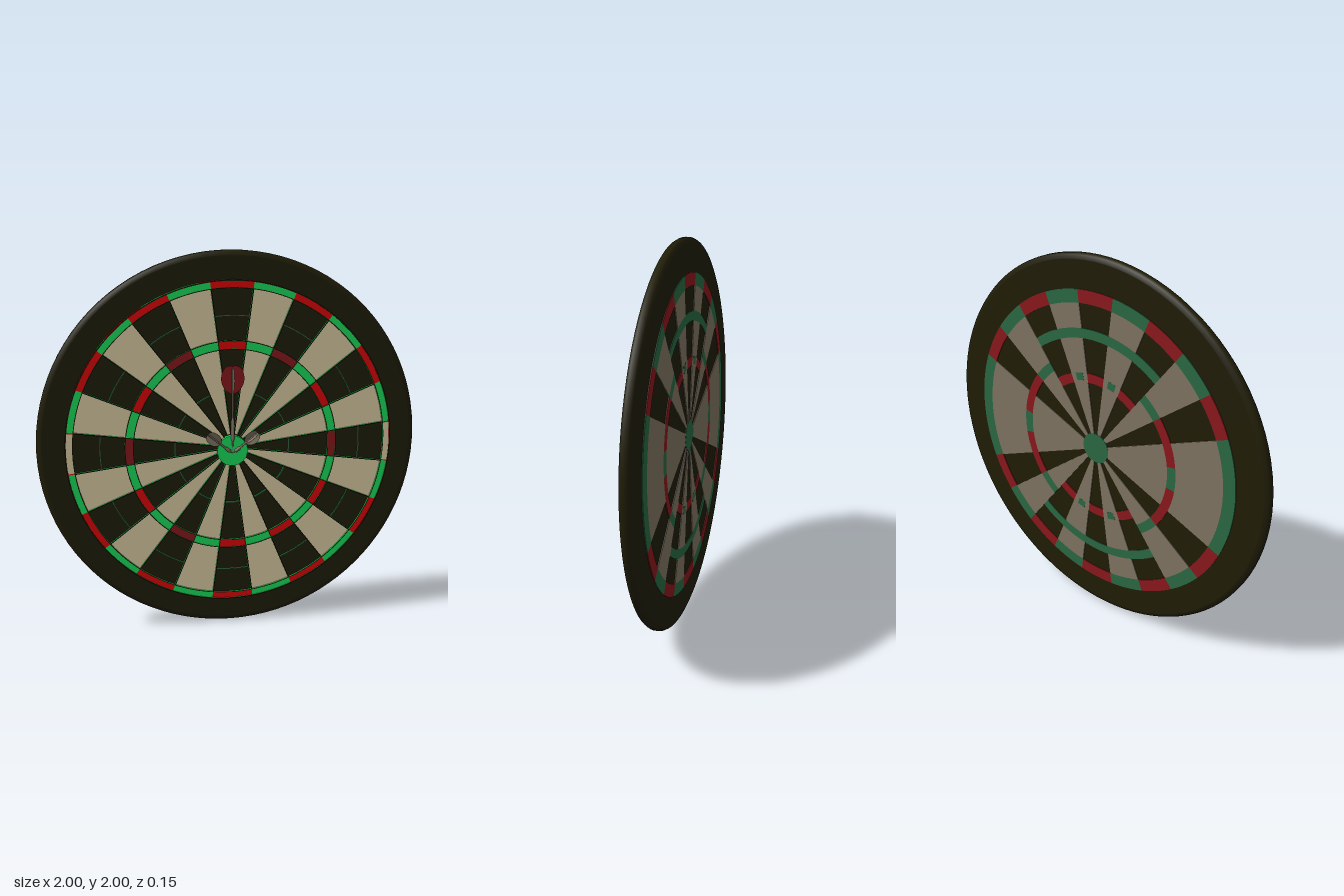
import * as THREE from 'three';

const mat = (name, color, side = THREE.FrontSide) => {
  const m = new THREE.MeshStandardMaterial({ color, side });
  m.name = name;
  return m;
};

export function createModel() {
  const black = mat('black', 0x201d06);
  const cream = mat('cream', 0xe1d1a6);
  const red = mat('red', 0xe50306);
  const green = mat('green', 0x1ce35e);
  const darkRed = mat('dark red', 0x8c191d, THREE.DoubleSide);
  const darkGreen = mat('dark green', 0x2a6a44);
  const taupe = mat('taupe', 0x807562, THREE.DoubleSide);

  const model = new THREE.Group();
  const board = new THREE.Group();
  board.name = 'board';
  board.position.y = 1;
  model.add(board);

  const add = (parent, name, geometry, material) => {
    const mesh = new THREE.Mesh(geometry, material);
    mesh.name = name;
    parent.add(mesh);
    return mesh;
  };

  // 24 wedges; wedge 0 points up and the count runs clockwise from the front.
  // A pair of materials colours the flat faces and the walls.
  const COUNT = 24, STEP = (Math.PI * 2) / COUNT;
  const wedge = (name, i, r0, r1, z0, z1, material, span = 1) => {
    const mid = Math.PI / 2 - i * STEP, half = (STEP * span) / 2;
    const shape = new THREE.Shape();
    shape.absarc(0, 0, r1, mid - half, mid + half, false);
    shape.absarc(0, 0, r0, mid + half, mid - half, true);
    const g = new THREE.ExtrudeGeometry(shape, { depth: z1 - z0, bevelEnabled: false, curveSegments: 8 });
    g.translate(0, 0, z0);
    return add(board, name, g, material);
  };

  // Round backing board with rounded rim
  const rim = [[0, -0.071], [0.972, -0.071], [0.975, -0.071], [0.993, -0.064], [1, -0.052], [1, -0.035],
    [0.993, -0.023], [0.975, -0.017], [0.972, -0.017], [0, -0.017]].map(([r, z]) => new THREE.Vector2(r, z));
  add(board, 'backing', new THREE.LatheGeometry(rim, 96).rotateX(Math.PI / 2), black);

  // Front scoring face
  const dullTriples = [2, 6, 14, 18, 22];
  const sides = [black, green];
  for (let i = 0; i < COUNT; i++) {
    const even = i % 2 === 0;
    const field = even ? black : cream;
    wedge('innerField', i, 0.07, 0.515, -0.02, 0, field);
    wedge('outerField', i, 0.553, 0.82, -0.02, 0, field);
    wedge('innerRing', i, 0.515, 0.553, -0.02, 0.006, !even ? green : dullTriples.includes(i) ? darkRed : red);
    wedge('outerRing', i, 0.82, 0.852, -0.02, 0.006, even ? red : green);
    if (i === 6 || i === 18) wedge('ringPlate', i, 0.82, 0.852, 0.005, 0.007, cream, 0.95);
    if (even) {
      wedge('innerLine', i, 0.298, 0.303, -0.001, 0.006, [darkGreen, green]);
      wedge('outerLine', i, 0.68, 0.684, -0.001, 0.004, [darkGreen, green]);
    }
    // Wires along the rings and between neighbouring wedges
    for (const r of [0.511, 0.553, 0.816]) wedge('ringWire', i, r, r + 0.004, -0.001, 0.009, sides);
    const divider = add(board, 'divider', new THREE.BoxGeometry(0.005, 0.75, 0.01).translate(0, 0.445, 0.004),
      [green, green, green, green, black, black]);
    divider.rotation.z = -(i + 0.5) * STEP;
  }

  // Outer wall: end angles of its coloured stretches, mirrored left and right
  let start = 0;
  [11, 32, 47, 52, 69, 82, 98, 112, 127, 180].forEach((end, k) => {
    const mid = (start + end) / 30, span = (end - start) / 15;
    for (const s of [-1, 1]) {
      wedge('outerWall', s * mid, 0.851, 0.857, -0.02, 0.009, [black, k % 2 ? green : red], span);
    }
    start = end;
  });

  const bull = add(board, 'bullseye', new THREE.CylinderGeometry(0.08, 0.08, 0.03, 40).rotateX(Math.PI / 2), green);
  bull.position.set(0, -0.018, -0.004);

  // Duller pattern on the back
  const B0 = -0.075, B1 = -0.07;
  for (let i = 0; i < COUNT; i++) {
    const even = i % 2 === 0;
    const fromSide = Math.min(Math.abs(i - 6), Math.abs(i - 18));
    const broad = fromSide <= 1;
    const nearPole = fromSide >= 4;
    const light = broad || !even;
    const ring = light ? darkGreen : darkRed;
    const field = light ? taupe : black;
    const cuts = nearPole ? [0.36, 0.41, 0.59, 0.64] : [0.45, 0.5];
    const bands = nearPole
      ? [field, even ? darkRed : field, field, darkGreen, field]
      : [field, fromSide === 1 ? darkRed : ring, field];
    const edges = [0.07, ...cuts, 0.765];
    bands.forEach((m, k) => {
      if (m !== black) wedge('backField', i, edges[k], edges[k + 1], B0, B1, m);
    });
    if (nearPole && !even) wedge('backDot', i, 0.37, 0.41, B0 - 0.0005, B1, darkGreen, 0.45);
    wedge('backRing', i, 0.765, 0.832, B0, B1, ring);
  }
  const backBull = add(board, 'backBullseye', new THREE.CylinderGeometry(0.083, 0.083, 0.006, 32).rotateX(Math.PI / 2), darkGreen);
  backBull.position.z = -0.0725;

  // Darts lying close to the face, each built along +y from its tip
  const makeDart = (name, length, flight, width, faceMaterial, turns) => {
    const dart = new THREE.Group();
    dart.name = name;
    const neck = length - flight;
    const profile = [[0, 0], [0.004, neck * 0.2], [0.009, neck * 0.25], [0.009, neck * 0.55],
      [0.005, neck * 0.62], [0.005, length * 0.97], [0, length * 0.97]].map(([r, y]) => new THREE.Vector2(r, y));
    add(dart, 'shaft', new THREE.LatheGeometry(profile, 10), taupe);
    const vane = new THREE.Shape();
    vane.moveTo(0, neck);
    vane.bezierCurveTo(width * 0.6, neck + flight * 0.1, width, neck + flight * 0.3, width, neck + flight * 0.55);
    vane.bezierCurveTo(width, neck + flight * 0.8, width * 0.7, length, width * 0.3, length);
    vane.lineTo(0, length);
    const g = new THREE.ShapeGeometry(vane, 8);
    // The last vane is the fin standing out from the face
    turns.forEach((a, k) => {
      add(dart, 'flight', g, k === 2 ? taupe : faceMaterial).rotation.y = -a;
    });
    model.add(dart);
    return dart;
  };
  const upper = makeDart('upperDart', 0.46, 0.15, 0.06, darkRed, [0, Math.PI, Math.PI / 2]);
  upper.position.set(0, 0.97, 0.016);
  for (const s of [-1, 1]) {
    const dart = makeDart('sideDart', 0.17, 0.09, 0.036, taupe, [0.35, 2.8, Math.PI / 2]);
    dart.position.set(0, 0.97, 0.016);
    dart.rotation.set(0.06, 0, -s * 0.88);
  }
  return model;
}
